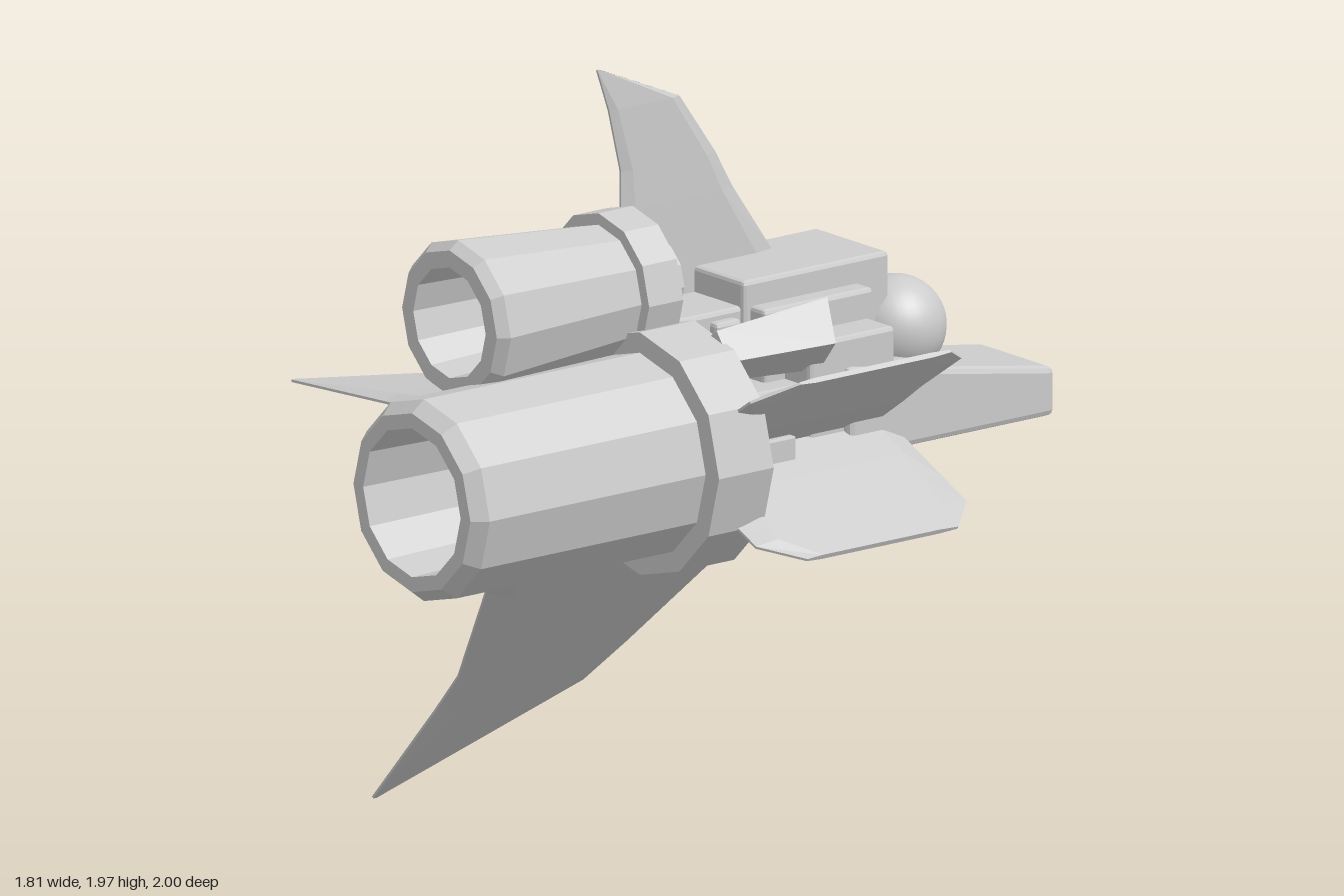
import * as THREE from 'three';
import { RoundedBoxGeometry } from 'three/addons/geometries/RoundedBoxGeometry.js';

const material = new THREE.MeshStandardMaterial({ color: 0xcccccc, flatShading: true });
const smooth = new THREE.MeshStandardMaterial({ color: 0xcccccc });

// Closed skin over equal-sized loops of [x, y, z], capped at both ends.
function loft(loops) {
  const n = loops[0].length;
  const p = loops.flat();
  const tris = [];
  for (let i = 0; i < loops.length - 1; i++) {
    for (let j = 0; j < n; j++) {
      const a = i * n + j, b = i * n + (j + 1) % n;
      tris.push([a, b, b + n], [a, b + n, a + n]);
    }
  }
  const last = (loops.length - 1) * n;
  for (let j = 1; j < n - 1; j++) tris.push([0, j + 1, j], [last, last + j, last + j + 1]);
  // Turn the faces outward whichever way the loops run.
  const v = (i) => new THREE.Vector3(...p[i]);
  let volume = 0;
  for (const [a, b, c] of tris) volume += v(a).dot(v(b).cross(v(c)));
  if (volume < 0) tris.forEach((t) => t.reverse());
  const g = new THREE.BufferGeometry();
  g.setAttribute('position', new THREE.Float32BufferAttribute(tris.flat().flatMap((i) => p[i]), 3));
  g.computeVertexNormals();
  return g;
}

// Thin blade spanning along +z; stations are [span, left x, right x, half thickness].
function blade(stations) {
  return loft(stations.map(([s, l, r, t]) => {
    const w = r - l, e = 0.003;
    const a = l + w * 0.1, b = r - w * 0.12;
    return [[l, e, s], [a, t, s], [b, t, s], [r, e, s], [r, -e, s], [b, -t, s], [a, -t, s], [l, -e, s]];
  }));
}

export function createModel() {
  const model = new THREE.Group();

  function add(name, geometry, pos = [0, 0, 0], mat = material) {
    const mesh = new THREE.Mesh(geometry, mat);
    mesh.name = name;
    mesh.position.set(...pos);
    model.add(mesh);
    return mesh;
  }

  function block(name, [x0, x1], [y0, y1], [z0, z1], bevel = 0.01) {
    return add(name, new RoundedBoxGeometry(x1 - x0, y1 - y0, z1 - z0, 1, bevel),
      [(x0 + x1) / 2, (y0 + y1) / 2, (z0 + z1) / 2]);
  }

  // Turned part along x; profile points are [radius, x], running towards -x.
  function turned(name, profile, y, z, sides = 12) {
    const g = new THREE.LatheGeometry(profile.map(([r, x]) => new THREE.Vector2(r, -x)), sides);
    add(name, g, [0, y, z]).rotation.z = Math.PI / 2;
  }

  // Engines with hollow nozzles and thick collars
  turned('mainEngine', [[0, -0.08], [0.285, -0.08], [0.285, -0.24], [0.237, -0.24], [0.237, -0.87],
    [0.21, -0.905], [0.175, -0.905], [0.165, -0.55], [0, -0.55]], 1.145, 0.62);
  turned('upperEngine', [[0, -0.04], [0.1, -0.04], [0.1, -0.11], [0.182, -0.11], [0.182, -0.21],
    [0.155, -0.21], [0.19, -0.62], [0.17, -0.645], [0.13, -0.645], [0.12, -0.4], [0, -0.4]], 1.483, 0.435);
  turned('rearDrum', [[0, 0.05], [0.11, 0.05], [0.11, -0.2], [0, -0.2]], 1.14, 0.42);

  // Fuselage blocks
  block('coreBlock', [-0.06, 0.45], [1.04, 1.24], [0.31, 0.66]);
  block('bellyBlock', [0.02, 0.46], [0.93, 1.1], [0.31, 0.57]);
  block('upperBlock', [0.12, 0.545], [1.24, 1.47], [0.29, 0.55]);
  block('stepBlock', [0.14, 0.46], [1.2, 1.41], [0.4, 0.6]);
  block('shoulderBlock', [0.2, 0.45], [1.08, 1.34], [0.5, 0.69]);
  block('engineMount', [-0.1, 0.12], [1.09, 1.15], [0.5, 0.74], 0.005);
  block('sidePanel', [-0.085, 0.01], [1.07, 1.35], [0.3, 0.565]);
  block('sidePanel', [0.03, 0.105], [1.08, 1.39], [0.3, 0.565]);
  block('rearPanel', [0.2, 0.335], [1.07, 1.28], [0.26, 0.34]);
  block('upperEngineMount', [-0.1, 0.2], [1.25, 1.41], [0.36, 0.54]);

  // Nose, its top sloping down to the tip
  const nose = block('nose', [0.3, 0.9], [1.055, 1.27], [0.45, 0.71], 0.015);
  const np = nose.geometry.attributes.position;
  for (let i = 0; i < np.count; i++) {
    if (np.getY(i) > 0) np.setY(i, np.getY(i) - 0.1 * (np.getX(i) + 0.3) / 0.6);
  }
  nose.geometry.computeVertexNormals();
  add('dome', new THREE.SphereGeometry(0.117, 32, 20), [0.602, 1.277, 0.502], smooth);

  // Two swept wings of the same shape, one level and one drooping
  const wing = blade([
    [0, -0.49, 0.69, 0.014], [0.08, -0.5, 0.71, 0.024], [0.26, -0.37, 0.66, 0.028],
    [0.6, -0.15, 0.575, 0.028], [1.0, 0, 0.49, 0.022], [1.15, 0.02, 0.45, 0.014], [1.53, 0.055, 0.065, 0.003],
  ]);
  add('upperWing', wing, [0, 1.065, 0.53]).rotation.set(Math.PI - 0.095, 0, 0);
  add('lowerWing', wing, [0, 1.085, 0.38]).rotation.set(Math.PI - Math.PI / 4, 0, 0);

  // Upright tail fin
  add('tailFin', blade([[0, -0.09, 0.4, 0.014], [0.09, -0.09, 0.35, 0.014], [0.25, -0.085, 0.24, 0.013],
    [0.34, -0.085, 0.19, 0.012], [0.49, -0.12, 0.085, 0.009], [0.59, -0.154, -0.146, 0.002]]),
    [0, 1.385, 0.36]).rotation.x = -Math.PI / 2;

  // Pair of short fins on the front flank
  const flank = blade([[0, -0.07, 0.46, 0.03], [0.14, -0.08, 0.46, 0.028], [0.22, -0.155, 0.46, 0.02],
    [0.31, -0.155, 0.46, 0.012], [0.385, -0.06, 0.38, 0.006]]);
  add('upperFlankFin', flank, [0, 1.14, 0.655]).rotation.x = -0.59;
  add('lowerFlankFin', flank, [0, 1.105, 0.65]).rotation.x = 0.43;

  // Wing scoops, flat at the back and open towards the nose
  for (const z of [-0.275, -0.095]) {
    const ring = (x, cz, half, y0, y1) => [[x, y0, cz - half], [x, y1, cz - half * 0.6],
      [x, y1, cz + half * 0.6], [x, y0, cz + half]];
    const base = 1.03 + 0.095 * (z - 0.03);
    add('wingScoop', loft([
      ring(0, z + 0.09, 0.035, base, base + 0.03), ring(0.46, z, 0.078, base, base + 0.078),
      ring(0.46, z, 0.055, base + 0.01, base + 0.064), ring(0.41, z, 0.05, base + 0.01, base + 0.06),
    ]));
  }

  // Tilted intake above the flank, with a slanted mouth
  const mouth = (x, half, slant) => [[1, 1], [1, -1], [-1, -1], [-1, 1]].map(([u, v]) => {
    const a = 0.65, w = u * half * 1.15, h = v * half * 0.8;
    const dz = w * Math.cos(a) - h * Math.sin(a), dy = w * Math.sin(a) + h * Math.cos(a);
    return [x - slant * dz, 1.36 + dy, 0.69 + dz];
  });
  add('intake', loft([mouth(-0.09, 0.05, 0), mouth(0.24, 0.07, 0.45),
    mouth(0.24, 0.054, 0.45), mouth(0.12, 0.05, 0)]));

  // Curved pipes from the fuselage down to the wing
  for (const x of [-0.05, 0.115, 0.392]) {
    const path = new THREE.CatmullRomCurve3([[0.33, 1.14], [0.27, 1.135], [0.215, 1.09], [0.195, 1.02]]
      .map(([z, y]) => new THREE.Vector3(x, y, z)));
    add('pipe', new THREE.TubeGeometry(path, 10, 0.022, 8), [0, 0, 0], smooth);
  }

  return model;
}
